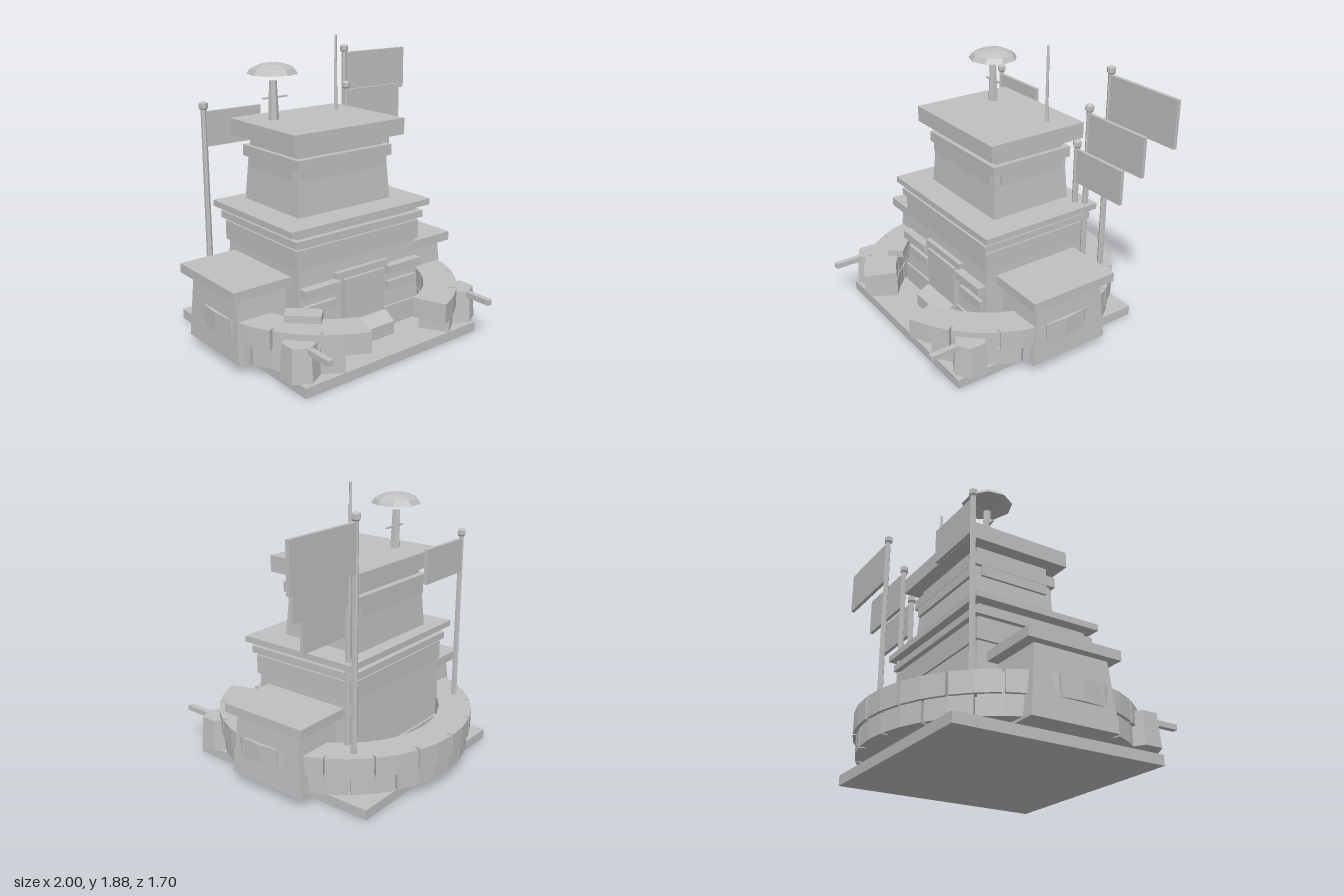
import * as THREE from 'three';

const stone = new THREE.MeshStandardMaterial({ color: 0xc0c0c0 });
stone.name = 'paleStone';
const CX = -0.13; // axis of symmetry of the fort

export function createModel() {
  const root = new THREE.Group();
  root.name = 'fort';

  const add = (name, geo) => {
    const g = geo.index ? geo.toNonIndexed() : geo;
    g.computeVertexNormals();
    const mesh = new THREE.Mesh(g, stone);
    mesh.name = name;
    root.add(mesh);
    return mesh;
  };
  // box given by its limits
  const box = (name, x0, x1, y0, y1, z0, z1) => add(name,
    new THREE.BoxGeometry(x1 - x0, y1 - y0, z1 - z0)
      .translate((x0 + x1) / 2, (y0 + y1) / 2, (z0 + z1) / 2));
  // box whose top is narrower or wider: half sizes at bottom and top
  const taper = (name, cx, cz, y0, y1, bx, bz, tx = bx, tz = bz) => {
    const g = new THREE.BoxGeometry(2, y1 - y0, 2);
    const p = g.attributes.position;
    for (let i = 0; i < p.count; i++) {
      const top = p.getY(i) > 0;
      p.setXYZ(i, cx + p.getX(i) * (top ? tx : bx), top ? y1 : y0, cz + p.getZ(i) * (top ? tz : bz));
    }
    return add(name, g);
  };
  const rod = (name, x, z, y0, y1, rTop, rBottom, sides) => add(name,
    new THREE.CylinderGeometry(rTop, rBottom, y1 - y0, sides).translate(x, (y0 + y1) / 2, z));

  // curved block between two angles, measured from the front
  const arc = (name, r0, r1, y0, y1, a0, a1, steps) => {
    const pts = [];
    const at = (r, t) => {
      const a = THREE.MathUtils.degToRad(a0 + (a1 - a0) * t);
      pts.push(new THREE.Vector2(r * Math.sin(a), -r * Math.cos(a)));
    };
    for (let i = 0; i <= steps; i++) at(r1, i / steps);
    for (let i = steps; i >= 0; i--) at(r0, i / steps);
    const g = new THREE.ExtrudeGeometry(new THREE.Shape(pts), { depth: y1 - y0, bevelEnabled: false });
    return add(name, g.rotateX(-Math.PI / 2).translate(CX, y0, 0));
  };

  // base plate
  box('basePlate', -0.82, 0.56, 0, 0.065, -0.7, 0.69);

  // ring wall: two staggered courses with narrow joints
  arc('lowerWallCore', 0.64, 0.79, 0.08, 0.2, 31, 329, 30);
  arc('upperWallCore', 0.64, 0.81, 0.2, 0.33, 21, 339, 32);
  for (let a = 30; a < 330; a += 20) arc('lowerWallBlock', 0.63, 0.83, 0.08, 0.2, a + 0.6, a + 19.4, 2);
  for (let a = 20; a < 340; a += 20) arc('upperWallBlock', 0.635, 0.85, 0.2, 0.33, a + 0.6, a + 19.4, 2);

  // loose block lying on the wall
  const loose = add('looseBlock', new THREE.BoxGeometry(0.22, 0.05, 0.11));
  loose.position.set(-0.63, 0.352, 0.42);
  loose.rotation.y = -0.75;

  // side wings and gun posts
  for (const s of [-1, 1]) {
    taper('wing', CX + s * 0.6, -0.045, 0.065, 0.48, 0.24, 0.285, 0.22, 0.245);
    box('wingRoof', CX + s * 0.62 - 0.25, CX + s * 0.62 + 0.25, 0.48, 0.54, -0.36, 0.26);
    const gx = CX + s * 0.64;
    rod('gunPost', gx, 0.57, 0.08, 0.29, 0.105, 0.12, 6);
    box('gunBarrel', gx - 0.018, gx + 0.018, 0.25, 0.285, 0.55, 0.85);
  }

  // main keep, stacked from the ground up
  const KZ = -0.045;
  taper('keepFoot', CX, KZ, 0.06, 0.2, 0.5, 0.415);
  taper('keepWall', CX, KZ, 0.2, 0.6, 0.485, 0.4, 0.47, 0.375);
  taper('keepBand', CX, KZ, 0.6, 0.725, 0.488, 0.39);
  taper('keepNeck', CX, KZ, 0.72, 0.83, 0.475, 0.375);
  taper('lowerCornice', CX, KZ, 0.745, 0.79, 0.507, 0.41);
  taper('upperCornice', CX, KZ, 0.825, 0.865, 0.55, 0.428);

  // doorway, step and wall ledges
  box('door', -0.29, 0.035, 0.065, 0.48, 0.3, 0.385);
  box('doorLintel', -0.335, 0.075, 0.475, 0.525, 0.28, 0.365);
  const step = new THREE.Shape([[0.3, 0.06], [0.48, 0.06], [0.48, 0.15], [0.4, 0.2], [0.3, 0.2]]
    .map(([z, y]) => new THREE.Vector2(-z, y)));
  add('doorStep', new THREE.ExtrudeGeometry(step, { depth: 0.325, bevelEnabled: false })
    .rotateY(Math.PI / 2).translate(-0.29, 0, 0));
  for (const s of [-1, 1]) {
    const lx = CX + s * 0.33;
    box('wallLedge', lx - 0.137, lx + 0.137, 0.43, 0.485, 0.3, 0.395);
    box('lowLedge', lx - 0.12, lx + 0.12, 0.31, 0.37, 0.3, 0.37);
  }

  // upper tower with dropped collar panels
  const TZ = -0.09;
  taper('tower', CX, TZ, 0.865, 1.22, 0.365, 0.29, 0.342, 0.265);
  taper('collar', CX, TZ, 1.15, 1.22, 0.37, 0.297);
  taper('collarFrontBackPanel', CX, TZ, 1.085, 1.16, 0.33, 0.295);
  taper('collarSidePanel', CX, TZ, 1.085, 1.16, 0.368, 0.235);
  taper('towerNeck', CX, TZ, 1.22, 1.29, 0.34, 0.255);
  taper('roof', CX, TZ, 1.285, 1.39, 0.428, 0.35);

  // dish on its mast, with a cross bar
  const DX = -0.375, DZ = -0.215;
  rod('dishMast', DX, DZ, 1.39, 1.635, 0.024, 0.034, 6);
  box('mastBar', -0.45, -0.27, 1.525, 1.535, DZ - 0.006, DZ + 0.006);
  const dish = [[0, 1.72], [0.09, 1.71], [0.15, 1.68], [0.162, 1.68], [0.14, 1.712], [0.08, 1.738], [0, 1.748]];
  add('dish', new THREE.LatheGeometry(dish.map(([r, y]) => new THREE.Vector2(r, y)), 9)
    .translate(DX, 0, DZ));

  // aerial
  rod('aerial', 0.155, -0.255, 1.39, 1.88, 0.01, 0.015, 4);

  // flags: x, z, pole foot, pole top, flag end, flag bottom, flag top
  const flags = [
    [-0.7, -0.515, 0.3, 1.505, -0.28, 1.21, 1.435],
    [0.44, -0.515, 0.3, 1.785, 1.0, 1.43, 1.725],
    [0.375, -0.415, 0.3, 1.545, 0.865, 1.225, 1.48],
    [0.32, -0.375, 0.86, 1.3, 0.74, 1.01, 1.235],
  ];
  for (const [x, z, y0, y1, xe, f0, f1] of flags) {
    rod('flagPole', x, z, y0, y1 - 0.03, 0.018, 0.021, 6);
    const knob = [[0, -0.055], [0.022, -0.055], [0.029, -0.045], [0.029, -0.015], [0, 0]];
    add('poleKnob', new THREE.LatheGeometry(knob.map(([r, y]) => new THREE.Vector2(r, y)), 6)
      .translate(x, y1, z));
    box('flag', x + 0.01, xe, f0, f1, z - 0.012, z + 0.012);
  }
  return root;
}
